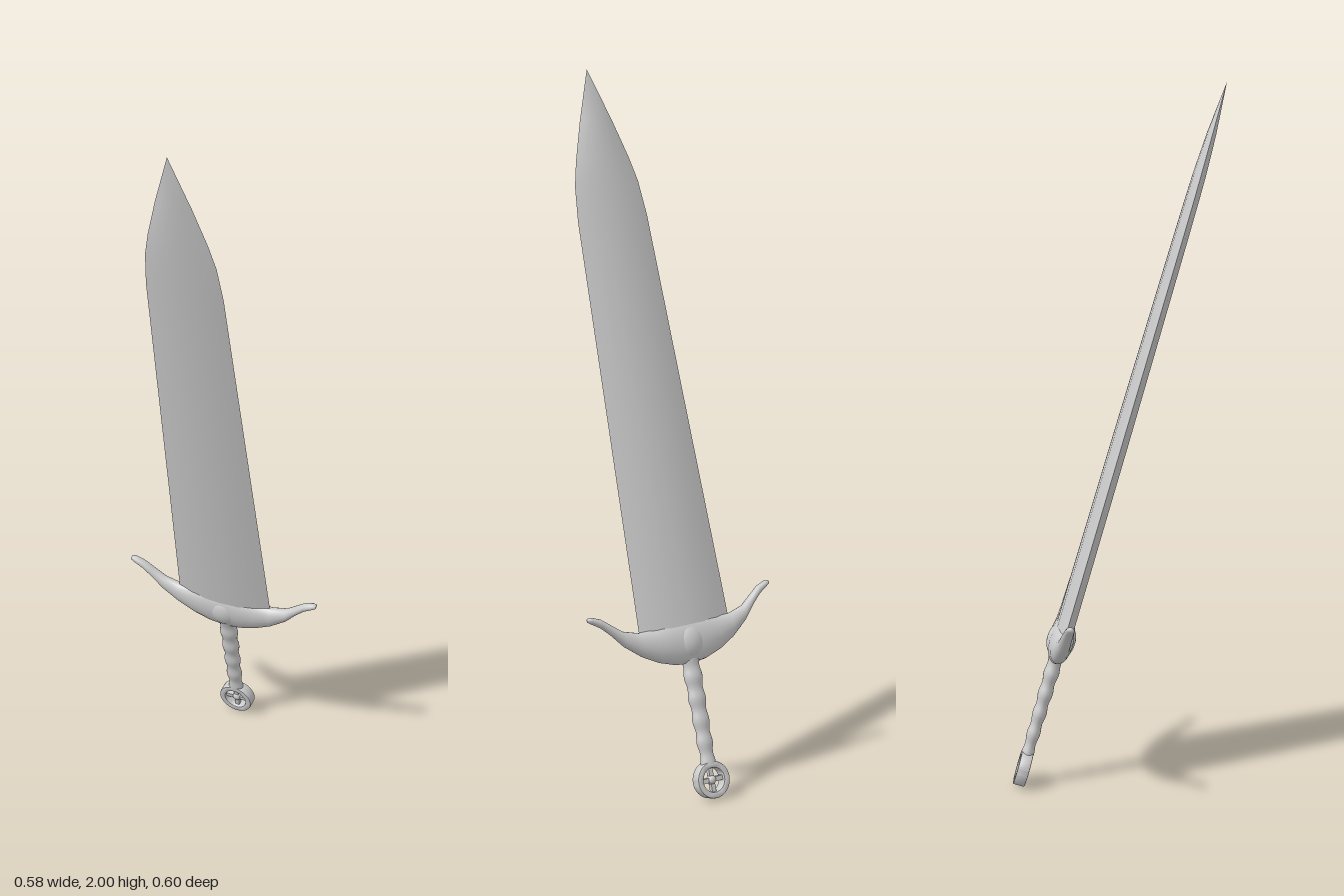
import * as THREE from 'three';
import { toCreasedNormals } from 'three/addons/utils/BufferGeometryUtils.js';

const material = new THREE.MeshStandardMaterial({ color: 0xcccccc });

// Skin a list of closed rings of Vector3 into one surface
function loft(rings) {
  const n = rings[0].length, index = [];
  for (let i = 0; i < rings.length - 1; i++) {
    for (let j = 0; j < n; j++) {
      const a = i * n + j, b = i * n + (j + 1) % n;
      index.push(a, a + n, b, b, a + n, b + n);
    }
  }
  const geometry = new THREE.BufferGeometry().setFromPoints(rings.flat());
  geometry.setIndex(index);
  geometry.computeVertexNormals();
  return geometry;
}

function add(parent, name, geometry) {
  const mesh = new THREE.Mesh(geometry, material);
  mesh.name = name;
  parent.add(mesh);
  return mesh;
}

// Blade: broad faceted lens section, [height, half width, half thickness]
function bladeGeometry() {
  const stations = [
    [0.41, 0.149, 0.026], [1.0, 0.131, 0.024], [1.6, 0.113, 0.02], [1.7, 0.103, 0.019],
    [1.77, 0.086, 0.018], [1.88, 0.052, 0.013], [2.027, 0, 0],
  ];
  const section = [
    [1, 0], [0.75, 0.45], [0.35, 0.92], [0, 1], [-0.35, 0.92], [-0.75, 0.45],
    [-1, 0], [-0.75, -0.45], [-0.35, -0.92], [0, -1], [0.35, -0.92], [0.75, -0.45],
  ];
  const rings = stations.map(([y, w, t]) => section.map(([x, z]) => new THREE.Vector3(x * w, y, z * t)));
  return toCreasedNormals(loft(rings), 0.8);
}

// Crossguard: upswept oval section, [x, bottom, top, half thickness], mirrored
function guardGeometry() {
  const half = [
    [0, 0.33, 0.464, 0.035], [0.05, 0.336, 0.46, 0.034], [0.1, 0.352, 0.45, 0.029],
    [0.15, 0.378, 0.446, 0.023], [0.2, 0.416, 0.46, 0.018], [0.235, 0.455, 0.486, 0.015],
    [0.262, 0.48, 0.506, 0.013], [0.29, 0.497, 0.516, 0.011], [0.299, 0.503, 0.515, 0.008],
    [0.3, 0.509, 0.509, 0],
  ];
  const left = half.slice(1).reverse().map(([x, ...rest]) => [-x, ...rest]);
  const sides = 20;
  return loft([...left, ...half].map(([x, b, t, d]) => Array.from({ length: sides }, (_, j) => {
    const a = -j / sides * Math.PI * 2;
    return new THREE.Vector3(x, (b + t) / 2 + (t - b) / 2 * Math.cos(a), d * Math.sin(a));
  })));
}

// Grip: rippled, slightly widening towards the guard
function gripGeometry() {
  const profile = [];
  for (let i = 0; i <= 40; i++) {
    const t = i / 40;
    const r = 0.021 + 0.006 * t + 0.0022 * Math.cos(t * Math.PI * 10);
    profile.push(new THREE.Vector2(r, 0.045 + t * 0.31));
  }
  return new THREE.LatheGeometry(profile, 20).scale(1, 1, 0.8);
}

// Pommel: flat ring with a pierced cross inside
function pommel() {
  const group = new THREE.Group();
  group.name = 'pommel';
  const outline = new THREE.Shape().absarc(0, 0, 0.049, 0, Math.PI * 2);
  outline.holes.push(new THREE.Path().absarc(0, 0, 0.037, 0, Math.PI * 2, true));
  const ring = new THREE.ExtrudeGeometry(outline, {
    depth: 0.028, bevelThickness: 0.003, bevelSize: 0.003, bevelSegments: 2, curveSegments: 24,
  });
  add(group, 'pommelRing', toCreasedNormals(ring.translate(0, 0, -0.014), 0.7));
  for (let i = 0; i < 2; i++) {
    add(group, 'pommelSpoke', new THREE.BoxGeometry(0.078, 0.013, 0.014)).rotation.z = i * Math.PI / 2;
  }
  add(group, 'pommelHub', new THREE.SphereGeometry(0.014, 16, 10));
  return group;
}

export function createModel() {
  const sword = new THREE.Group();
  sword.name = 'sword';
  add(sword, 'blade', bladeGeometry());
  add(sword, 'guard', guardGeometry());
  const boss = add(sword, 'guardBoss', new THREE.SphereGeometry(1, 28, 18));
  boss.scale.set(0.055, 0.055, 0.041);
  boss.position.y = 0.395;
  add(sword, 'grip', gripGeometry());
  sword.add(pommel());

  // Lean the upright sword, pivoting at the pommel
  const up = new THREE.Vector3(-0.082, 1.945, 0.565).normalize();
  const front = new THREE.Vector3(0.57, -0.02, 0.145).cross(up).normalize();
  const side = new THREE.Vector3().crossVectors(up, front);
  sword.quaternion.setFromRotationMatrix(new THREE.Matrix4().makeBasis(side, up, front));
  sword.position.set(0.017, 0.055, -0.265);

  const model = new THREE.Group();
  model.add(sword);
  return model;
}
